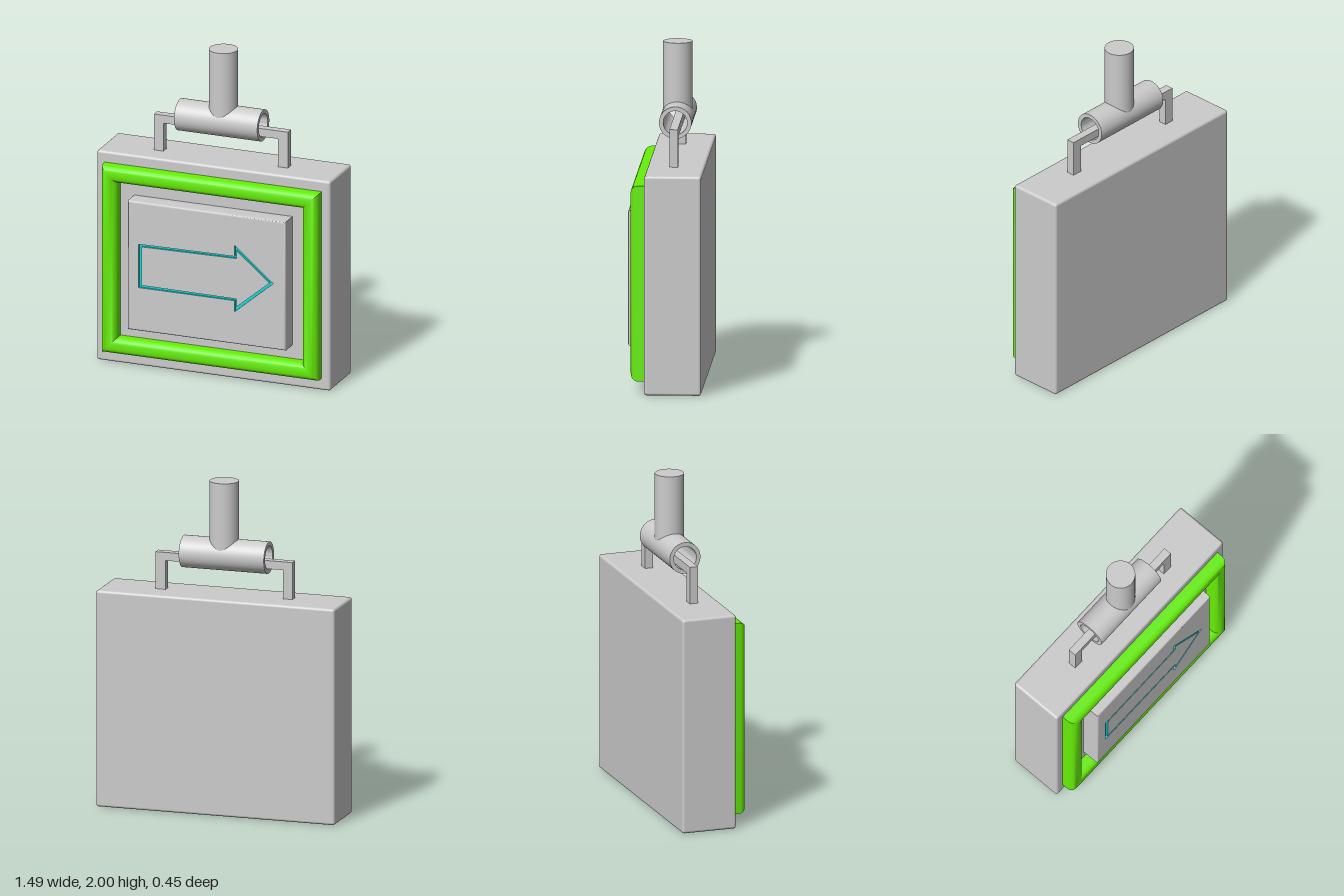
import * as THREE from 'three';
import { toCreasedNormals } from 'three/addons/utils/BufferGeometryUtils.js';
import { RoundedBoxGeometry } from 'three/addons/geometries/RoundedBoxGeometry.js';

const grey = new THREE.MeshStandardMaterial({ color: 0xcccccc });
const green = new THREE.MeshStandardMaterial({ color: 0x66ee08 });
const cyan = new THREE.MeshStandardMaterial({ color: 0x10dcdc });

const points = (list) => list.map(([x, y]) => new THREE.Vector2(x, y));
const rect = (x0, y0, x1, y1) => points([[x0, y0], [x1, y0], [x1, y1], [x0, y1]]);

function shapeOf(outline, hole) {
  const shape = new THREE.Shape(outline);
  if (hole) shape.holes.push(new THREE.Path(hole));
  return shape;
}

// Extrusion between two z values, with an optional rounded edge kept inside the outline
function slab(shape, z0, z1, round = 0, segments = 5) {
  const geometry = new THREE.ExtrudeGeometry(shape, {
    depth: z1 - z0 - 2 * round, bevelEnabled: round > 0, bevelSize: round,
    bevelThickness: round, bevelOffset: -round, bevelSegments: segments,
  });
  geometry.translate(0, 0, z0 + round);
  return toCreasedNormals(geometry, 0.7);
}

// Removes the cap at the front; inside-out turns the rest into a recess
function openFront(geometry, zFront, insideOut = false) {
  const p = geometry.attributes.position;
  const kept = [];
  for (let i = 0; i < p.count; i += 3) {
    const onCap = [0, 1, 2].every((k) => Math.abs(p.getZ(i + k) - zFront) < 1e-4);
    if (onCap) continue;
    for (const k of insideOut ? [0, 2, 1] : [0, 1, 2]) {
      kept.push(p.getX(i + k), p.getY(i + k), p.getZ(i + k));
    }
  }
  const open = new THREE.BufferGeometry();
  open.setAttribute('position', new THREE.Float32BufferAttribute(kept, 3));
  return toCreasedNormals(open, 0.7);
}

export function createModel() {
  const model = new THREE.Group();
  model.name = 'hangingArrowSign';
  const add = (name, geometry, material = grey) => {
    const mesh = new THREE.Mesh(geometry, material);
    mesh.name = name;
    model.add(mesh);
    return mesh;
  };

  // Sign housing
  add('housing', new RoundedBoxGeometry(1.487, 1.315, 0.337, 4, 0.016))
    .position.set(0, 0.6575, -0.056);

  // Rounded glowing frame, its back sunk into the housing
  const frame = shapeOf(rect(-0.69, 0.075, 0.69, 1.247), rect(-0.59, 0.175, 0.59, 1.148));
  add('glowFrame', slab(frame, 0.03, 0.197, 0.046, 8), green);

  // Raised panel: rounded sides, then a flat face with an arrow groove cut in it
  const front = 0.222, edge = 0.012;
  const arrowOuter = points([[-0.432, 0.53], [0.178, 0.53], [0.178, 0.46], [0.425, 0.67],
    [0.178, 0.878], [0.178, 0.808], [-0.432, 0.802]]);
  const arrowInner = points([[-0.412, 0.546], [0.191, 0.542], [0.191, 0.492], [0.402, 0.67],
    [0.191, 0.846], [0.191, 0.796], [-0.412, 0.788]]);
  const panel = shapeOf(rect(-0.503, 0.258, 0.503, 1.066));
  add('panelSides', openFront(slab(panel, 0.08, front, edge), front));
  const face = shapeOf(
    rect(-0.503 + edge, 0.258 + edge, 0.503 - edge, 1.066 - edge), arrowOuter);
  add('panelFace', new THREE.ShapeGeometry(face)).position.z = front;
  add('arrowFace', new THREE.ShapeGeometry(shapeOf(arrowInner))).position.z = front;
  add('arrowGroove',
    openFront(slab(shapeOf(arrowOuter, arrowInner), front - 0.014, front), front, true), cyan);

  // Square bracket running through the hanging tube
  const bracket = shapeOf(points([[-0.43, 1.3], [-0.37, 1.3], [-0.37, 1.49], [0.36, 1.49],
    [0.36, 1.3], [0.422, 1.3], [0.422, 1.54], [-0.43, 1.54]]));
  add('bracket', slab(bracket, -0.068, -0.018));

  // Hollow horizontal tube
  const tubeY = 1.552, tubeR = 0.096, zMid = -0.043;
  const wall = points([[0.071, -0.265], [tubeR, -0.265], [tubeR, 0.265],
    [0.071, 0.265], [0.071, -0.265]]);
  const tube = add('hangingTube', toCreasedNormals(new THREE.LatheGeometry(wall, 48), 0.7));
  tube.rotation.z = Math.PI / 2;
  tube.position.set(-0.01, tubeY, zMid);

  // Post whose lower end is shaped to saddle the tube
  const postR = 0.087;
  const post = new THREE.CylinderGeometry(postR, postR, 1, 48, 1).translate(0, 0.5, 0);
  const p = post.attributes.position;
  for (let i = 0; i < p.count; i++) {
    const saddle = tubeY + Math.sqrt(tubeR ** 2 - p.getZ(i) ** 2) - 0.006;
    p.setY(i, p.getY(i) > 0.5 ? 2 : saddle);
  }
  // The lower cap is left out, as the tube wall closes it
  const caps = post.groups[2];
  post.setIndex(Array.from(post.index.array).slice(0, caps.start));
  post.clearGroups();
  add('post', post).position.set(0.002, 0, zMid);

  return model;
}
